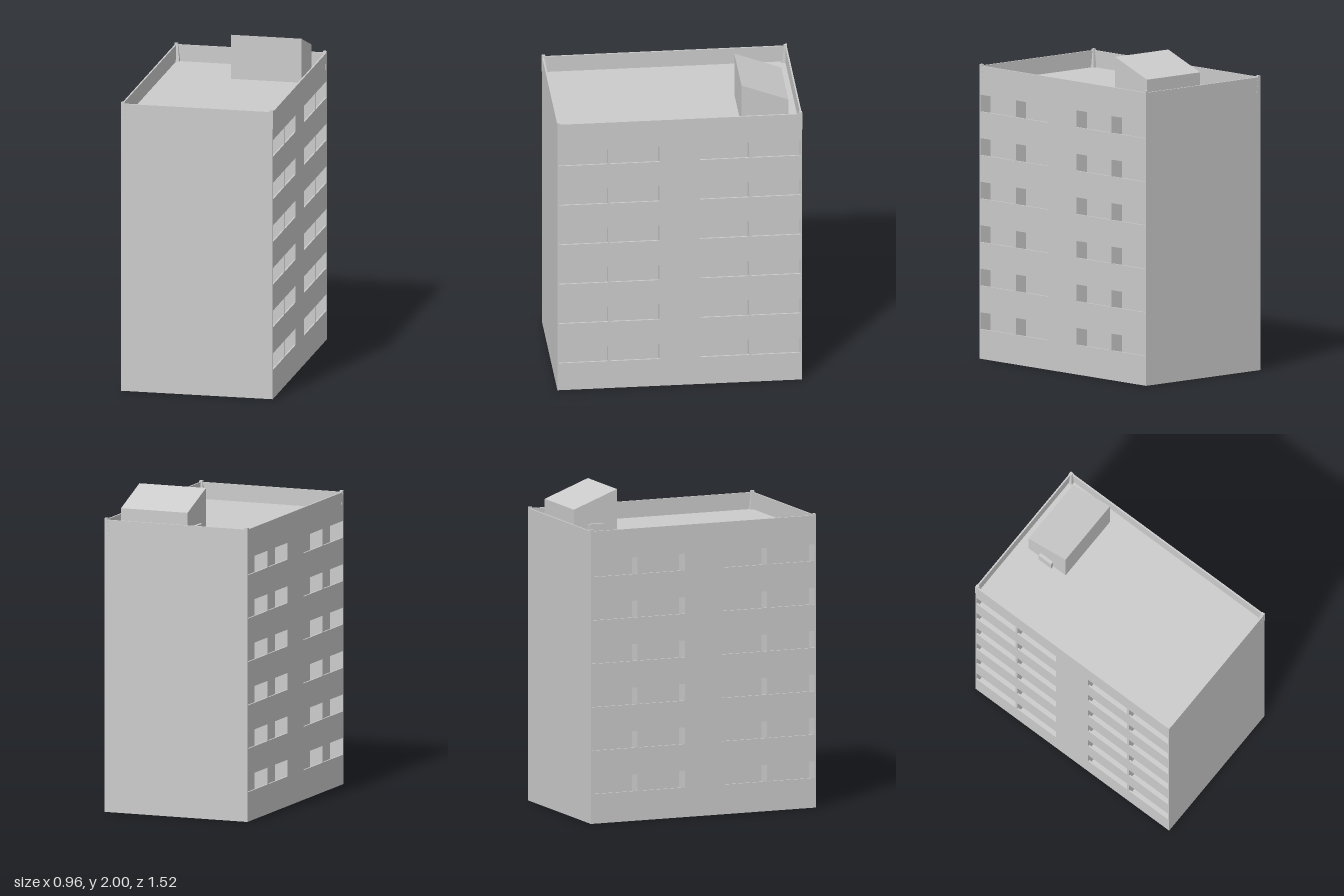
import * as THREE from 'three';

const material = new THREE.MeshStandardMaterial({ color: 0xcccccc, flatShading: true });

// Overall sizes
const HX = 0.478, HZ = 0.757;          // half width and half length
const ROOF = 1.72, TOP = 1.825;        // roof deck and parapet heights
const RECESS = 0.085, SKIN = 0.01;     // balcony depth and wall thickness
const FLOORS = 6, FIRST = 0.185, STEP = 0.271, OPENING = 0.105;
const BAYS = [[-0.748, -0.443], [-0.428, -0.125], [0.125, 0.428], [0.443, 0.748]];

function add(parent, name, geometry, x = 0, y = 0, z = 0) {
  const mesh = new THREE.Mesh(geometry, material);
  mesh.name = name;
  mesh.position.set(x, y, z);
  parent.add(mesh);
  return mesh;
}

function addBox(parent, name, [x0, x1], [y0, y1], [z0, z1]) {
  return add(parent, name, new THREE.BoxGeometry(x1 - x0, y1 - y0, z1 - z0),
    (x0 + x1) / 2, (y0 + y1) / 2, (z0 + z1) / 2);
}

function rectangle(path, x0, x1, y0, y1) {
  path.moveTo(x0, y0);
  path.lineTo(x1, y0);
  path.lineTo(x1, y1);
  path.lineTo(x0, y1);
  path.closePath();
  return path;
}

// A long wall layer pierced by every balcony; drop lowers the bottom of each hole
function piercedWall(height, depth, drop) {
  const shape = rectangle(new THREE.Shape(), -HZ, HZ, 0, height);
  for (let f = 0; f < FLOORS; f++) {
    const y = FIRST + f * STEP;
    for (const [z0, z1] of BAYS) {
      shape.holes.push(rectangle(new THREE.Path(), z0, z1, y - drop, y + OPENING));
    }
  }
  return new THREE.ExtrudeGeometry(shape, { depth, bevelEnabled: false });
}

// Corner post whose top narrows towards the outer corner
function cornerPost(sx, sz) {
  const base = 0.034, top = 0.02, height = 1.835 - ROOF;
  const geometry = new THREE.BoxGeometry(base, height, base);
  geometry.translate(-sx * base / 2, height / 2, -sz * base / 2);
  const p = geometry.attributes.position;
  for (let i = 0; i < p.count; i++) {
    if (p.getY(i) > height / 2) {
      p.setX(i, p.getX(i) * top / base);
      p.setZ(i, p.getZ(i) * top / base);
    }
  }
  geometry.computeVertexNormals();
  return geometry;
}

export function createModel() {
  const model = new THREE.Group();
  model.name = 'apartmentBlock';

  // Solid core, carrying the roof deck and the balcony back walls
  addBox(model, 'core', [-HX + RECESS, HX - RECESS], [0, ROOF], [-HZ, HZ]);

  // Balcony sides: floors and dividers behind a thin outer wall
  for (const side of [-1, 1]) {
    const facade = new THREE.Group();
    facade.name = side > 0 ? 'leftFacade' : 'rightFacade';
    facade.rotation.y = side * Math.PI / 2;
    add(facade, 'balconyFloors', piercedWall(ROOF, RECESS - SKIN, 0.08), 0, 0, HX - RECESS);
    add(facade, 'outerWall', piercedWall(TOP, SKIN, 0), 0, 0, HX - SKIN);
    model.add(facade);
  }

  // Parapets over the blank end walls
  addBox(model, 'frontParapet', [-HX + SKIN, HX - SKIN], [ROOF, TOP], [HZ - SKIN, HZ]);
  addBox(model, 'backParapet', [-HX + SKIN, HX - SKIN], [ROOF, TOP], [-HZ, -HZ + SKIN]);

  // Corner posts
  for (const sx of [-1, 1]) {
    for (const sz of [-1, 1]) {
      add(model, 'cornerPost', cornerPost(sx, sz), sx * (HX + 0.001), ROOF, sz * (HZ + 0.001));
    }
  }

  // Roof stair house with a sloping roof, falling to the back
  const profile = new THREE.Shape([
    new THREE.Vector2(-0.68, ROOF), new THREE.Vector2(-0.39, ROOF),
    new THREE.Vector2(-0.39, 2), new THREE.Vector2(-0.68, 1.89),
  ]);
  const house = new THREE.ExtrudeGeometry(profile, { depth: 0.445, bevelEnabled: false });
  house.rotateY(-Math.PI / 2);
  add(model, 'stairHouse', house, 0.4, 0, 0);
  addBox(model, 'stairHouseDoor', [-0.065, -0.045], [ROOF, 1.795], [-0.585, -0.487]);

  return model;
}
